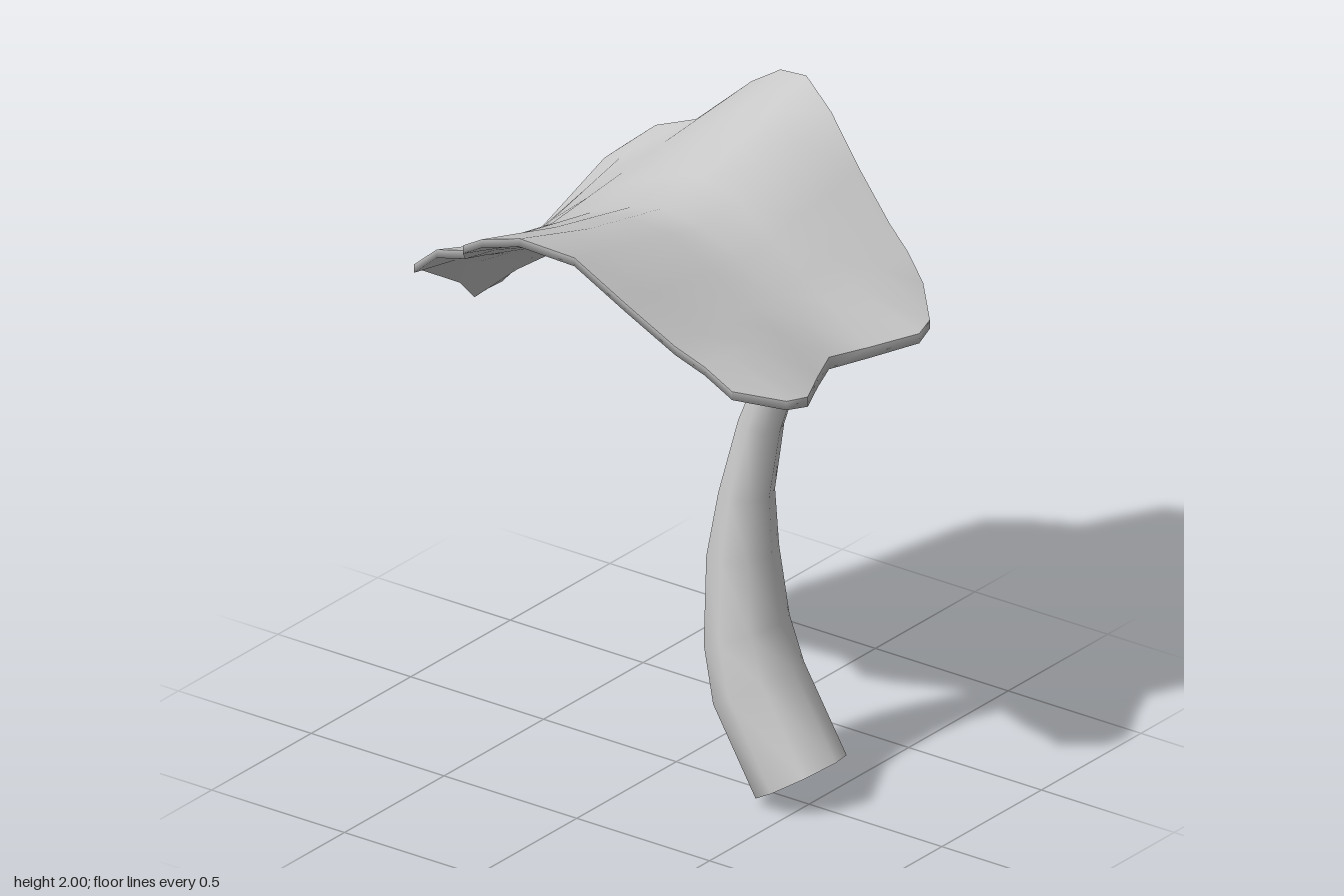
import * as THREE from 'three';

const material = new THREE.MeshStandardMaterial({ color: 0xcccccc, side: THREE.DoubleSide });

// Smooth surface through rows of points; wrap joins the last column to the first
function surface(name, rows, { wrap = false, flip = false } = {}) {
  const n = rows[0].length;
  const index = [];
  for (let i = 0; i < rows.length - 1; i++) {
    for (let j = 0; j < (wrap ? n : n - 1); j++) {
      const k = (j + 1) % n;
      const a = i * n + j, b = (i + 1) * n + j, c = (i + 1) * n + k, d = i * n + k;
      if (flip) index.push(a, c, b, a, d, c);
      else index.push(a, b, c, a, c, d);
    }
  }
  const geometry = new THREE.BufferGeometry().setFromPoints(rows.flat());
  geometry.setIndex(index);
  geometry.computeVertexNormals();
  const mesh = new THREE.Mesh(geometry, material);
  mesh.name = name;
  return mesh;
}

// Leaf rows from back to front: thickness at the midrib, then points from midrib to edge
const leafRows = [
  [0.025, [0, 1.40, -0.71], [0.07, 1.40, -0.707], [0.2, 1.51, -0.665], [0.46, 1.665, -0.615], [0.53, 1.69, -0.59]],
  [0.06, [0, 1.53, -0.6], [0.55, 1.775, -0.49]],
  [0.1, [0, 1.66, -0.47], [0.58, 1.82, -0.36]],
  [0.11, [0, 1.74, -0.32], [0.36, 1.82, -0.29], [0.725, 1.92, -0.26]],
  [0.12, [0, 1.80, -0.17], [0.375, 1.875, -0.17], [0.75, 1.975, -0.17]],
  [0.14, [0, 1.83, -0.05], [0.365, 1.9, -0.05], [0.72, 2.0, -0.05]],
  [0.13, [0, 1.81, 0.1], [0.645, 1.95, 0.1]],
  [0.11, [0, 1.735, 0.25], [0.59, 1.82, 0.25]],
  [0.09, [0, 1.665, 0.38], [0.54, 1.70, 0.40]],
  [0.14, [0, 1.605, 0.47], [0.51, 1.645, 0.49]],
  [0.04, [0, 1.51, 0.575], [0.13, 1.51, 0.63], [0.28, 1.52, 0.705], [0.36, 1.53, 0.685], [0.48, 1.575, 0.57]],
];
const COLS = 4; // columns on each side of the midrib

function leafPoint(points, t) {
  const s = t * (points.length - 1);
  const k = Math.min(Math.floor(s), points.length - 2);
  return new THREE.Vector3(...points[k]).lerp(new THREE.Vector3(...points[k + 1]), s - k);
}

function createLeaf() {
  const top = [], bottom = [];
  for (const [thickness, ...points] of leafRows) {
    const upper = [], lower = [];
    for (let j = -COLS; j <= COLS; j++) {
      const t = Math.abs(j) / COLS;
      const p = leafPoint(points, t);
      if (j < 0) p.x = -p.x;
      const depth = 0.028 + (thickness - 0.028) * (1 - t) ** 1.5;
      upper.push(p);
      lower.push(p.clone().setY(p.y - depth));
    }
    top.push(upper);
    bottom.push(lower);
  }
  // The underside turns up at its border to meet the top sheet
  const last = top.length - 1;
  const underside = [top[0], ...bottom, top[last]].map((row, i) => {
    const edge = top[Math.min(Math.max(i - 1, 0), last)];
    return [edge[0], ...row, edge[2 * COLS]];
  });
  const leaf = new THREE.Group();
  leaf.name = 'leaf';
  leaf.add(surface('leafTop', top), surface('leafUnderside', underside, { flip: true }));
  return leaf;
}

// Stem sections from the cut end up: front z, front y, back z, back y, half width
const stemSections = [
  [0.60, 0.165, 0.34, 0.0, 0.15],
  [0.44, 0.43, 0.18, 0.27, 0.15],
  [0.39, 0.57, 0.14, 0.46, 0.138],
  [0.36, 0.79, 0.14, 0.76, 0.112],
  [0.35, 0.98, 0.18, 0.98, 0.088],
  [0.39, 1.21, 0.25, 1.24, 0.07],
  [0.47, 1.45, 0.36, 1.5, 0.06],
  [0.49, 1.53, 0.37, 1.6, 0.075],
];

function createStem() {
  const SIDES = 8;
  const rings = stemSections.map(([fz, fy, bz, by, half]) =>
    Array.from({ length: SIDES }, (_, j) => {
      const a = (j / SIDES) * Math.PI * 2;
      const s = (1 + Math.sin(a)) / 2;
      return new THREE.Vector3(half * Math.cos(a), by + (fy - by) * s, bz + (fz - bz) * s);
    }));
  return surface('stem', rings, { wrap: true });
}

export function createModel() {
  const model = new THREE.Group();
  model.name = 'leafOnStem';
  model.add(createLeaf(), createStem());
  return model;
}
